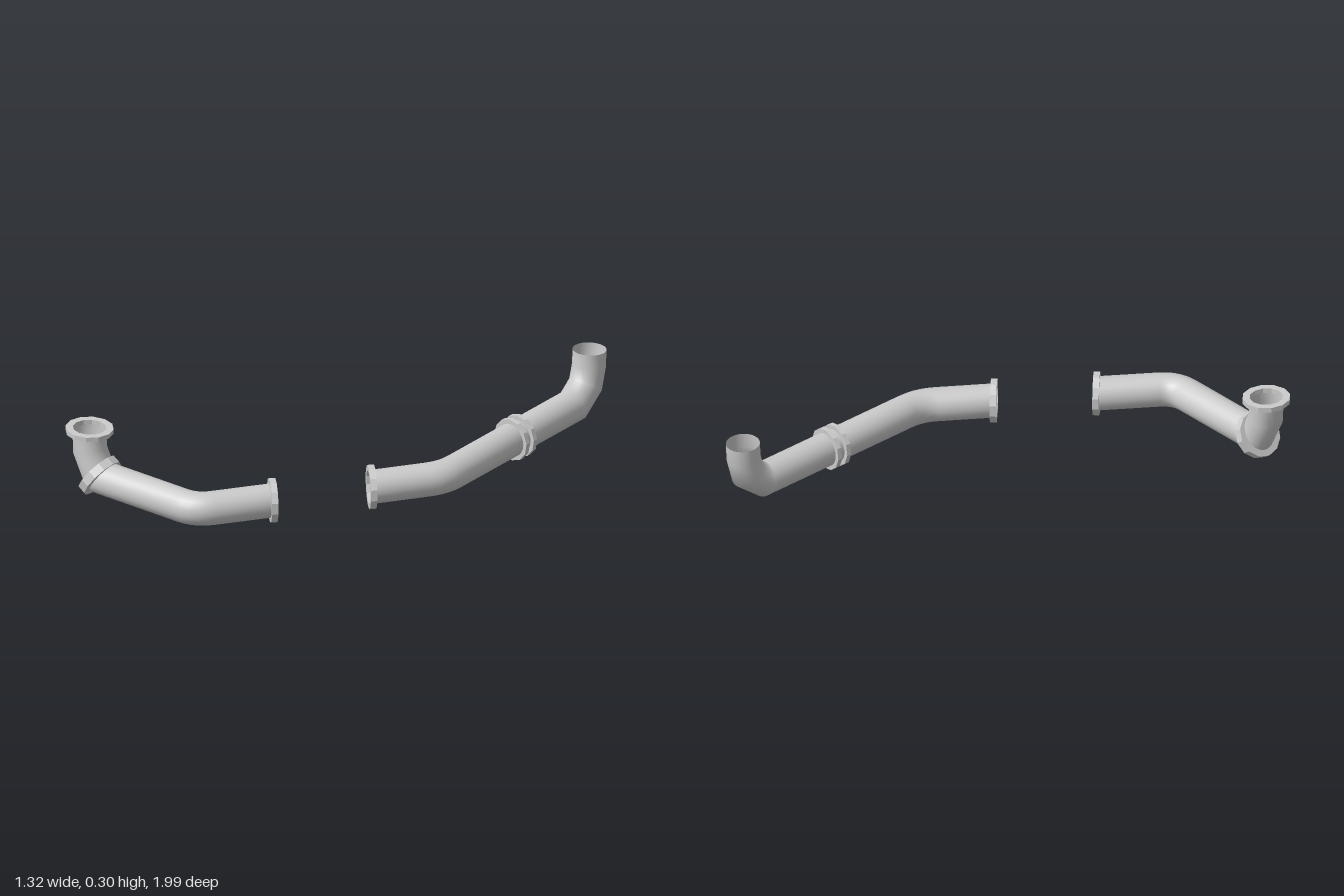
import * as THREE from 'three';

const V = (x, y, z) => new THREE.Vector3(x, y, z);
const R = 0.069; // pipe radius
const SIDES = 24;

const pipeMat = new THREE.MeshStandardMaterial({ color: 0xcccccc, side: THREE.DoubleSide });
const collarMat = new THREE.MeshStandardMaterial({ color: 0xcccccc, flatShading: true });

// Open pipe along a polyline with mitred joints; the end cuts may be skewed
function pipe(name, pts, startCut, endCut) {
  const n = pts.length;
  const dirs = pts.slice(1).map((p, i) => p.clone().sub(pts[i]).normalize());
  const d0 = dirs[0];
  const u = V(0, 1, 0).cross(d0);
  if (u.length() < 0.01) u.set(1, 0, 0);
  u.normalize();
  const v = d0.clone().cross(u);
  let ring = [];
  for (let j = 0; j < SIDES; j++) {
    const a = (j / SIDES) * Math.PI * 2;
    ring.push(pts[0].clone().addScaledVector(u, R * Math.cos(a)).addScaledVector(v, R * Math.sin(a)));
  }
  const pos = [], idx = [];
  for (let i = 0; i < n; i++) {
    const along = dirs[Math.max(i - 1, 0)];
    let cut = along;
    if (i === 0) cut = startCut || along;
    else if (i === n - 1) cut = endCut || along;
    else cut = along.clone().add(dirs[i]);
    // slide the ring along the segment onto the cutting plane
    ring = ring.map(p => {
      const t = pts[i].clone().sub(p).dot(cut) / along.dot(cut);
      return p.clone().addScaledVector(along, t);
    });
    ring.forEach(p => pos.push(p.x, p.y, p.z));
    if (i === n - 1) break;
    for (let j = 0; j < SIDES; j++) {
      const a = i * SIDES + j, b = i * SIDES + (j + 1) % SIDES;
      idx.push(a, b, a + SIDES, b, b + SIDES, a + SIDES);
    }
  }
  const geo = new THREE.BufferGeometry();
  geo.setAttribute('position', new THREE.Float32BufferAttribute(pos, 3));
  geo.setIndex(idx);
  geo.computeVertexNormals();
  const mesh = new THREE.Mesh(geo, pipeMat);
  mesh.name = name;
  return mesh;
}

// Points of a rounded corner between two straight runs
function bend(from, corner, to, cut = 0.07, steps = 5) {
  const a = corner.clone().add(from.clone().sub(corner).setLength(cut));
  const b = corner.clone().add(to.clone().sub(corner).setLength(cut));
  return new THREE.QuadraticBezierCurve3(a, corner, b).getPoints(steps);
}

// Twelve-sided flange ring facing along an axis
function collar(name, center, axis, outer = 0.091, thick = 0.026) {
  const h = thick / 2, inner = R - 0.001;
  const profile = [[inner, -h], [outer, -h], [outer, h], [inner, h], [inner, -h]]
    .map(([r, y]) => new THREE.Vector2(r, y));
  const mesh = new THREE.Mesh(new THREE.LatheGeometry(profile, 12), collarMat);
  mesh.name = name;
  mesh.position.copy(center);
  mesh.quaternion.setFromUnitVectors(V(0, 1, 0), axis.clone().normalize());
  return mesh;
}

export function createModel() {
  const group = new THREE.Group();

  // Front pipe: riser, tilted joint, long run and bent outlet
  const front = new THREE.Group();
  front.name = 'frontPipe';
  const joint = V(-0.51, 0.103, 0.895), jointAxis = V(0.82, -0.56, 0);
  const riserTop = V(-0.562, 0.295, 0.895);
  const cornerA = V(-0.012, 0.095, 0.898);
  const outletA = V(0.172, 0.095, 0.633), outletAxis = V(0.7, 0, -0.71);
  const runStart = V(-0.515, 0.097, 0.894);
  front.add(
    pipe('frontRiser', [riserTop, V(-0.56, 0.205, 0.895), joint], null, jointAxis),
    pipe('frontRun', [runStart, ...bend(runStart, cornerA, outletA), outletA], jointAxis, outletAxis),
    collar('riserCollar', V(-0.562, 0.291, 0.895), V(0.03, 1, 0), 0.098, 0.02),
    collar('jointCollar', joint, jointAxis, 0.097, 0.036),
    collar('frontOutletCollar', outletA, outletAxis)
  );

  // Back pipe: bent inlet, long run, double coupling and upturned end
  const back = new THREE.Group();
  back.name = 'backPipe';
  const inletB = V(0.405, 0.095, 0.287);
  const cornerB = V(0.577, 0.095, 0.036);
  const coupling = V(0.568, 0.095, -0.442);
  const runEnd = V(0.561, 0.095, -0.82);
  back.add(
    pipe('backRunFront', [inletB, ...bend(inletB, cornerB, coupling), coupling], outletAxis),
    pipe('backRunRear', [coupling, runEnd, V(0.56, 0.158, -0.902),
      V(0.56, 0.235, -0.924), V(0.56, 0.305, -0.928)]),
    collar('backInletCollar', inletB, outletAxis)
  );
  for (const s of [-1, 1]) {
    back.add(collar('couplingCollar', V(0.568, 0.095, -0.442 + s * 0.024), V(-0.09, 0, 1), 0.089, 0.02));
  }

  group.add(front, back);
  return group;
}
